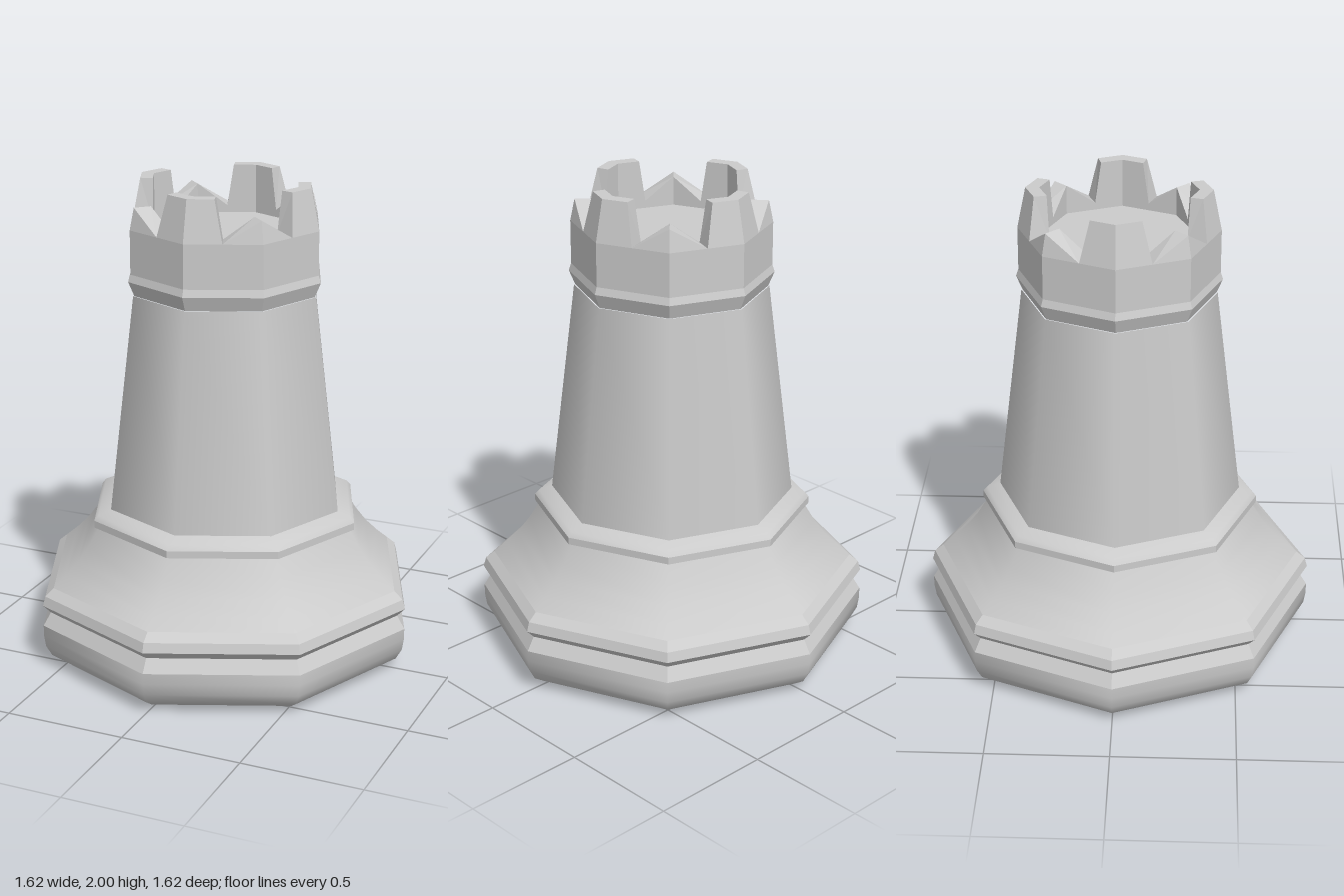
import * as THREE from 'three';

const SIDES = 8;
const smooth = new THREE.MeshStandardMaterial({ color: 0xcccccc });
const faceted = new THREE.MeshStandardMaterial({ color: 0xcccccc, flatShading: true });

// Eight-sided turned section from [radius, y] points, listed bottom to top
function turned(name, points, material) {
  const profile = points.map(([r, y]) => new THREE.Vector2(r, y));
  const mesh = new THREE.Mesh(new THREE.LatheGeometry(profile, SIDES), material);
  mesh.name = name;
  return mesh;
}

// Flat octagonal cap, facing up or down
function cap(name, radius, y, up) {
  const mesh = new THREE.Mesh(new THREE.CircleGeometry(radius, SIDES), faceted);
  mesh.rotation.x = up ? -Math.PI / 2 : Math.PI / 2;
  mesh.position.y = y;
  mesh.name = name;
  return mesh;
}

// Crown wall: four tapered merlons with a low pointed tooth between each pair
function battlements(inner, outer, floorY, notchY) {
  const rim = [[0, 2], [0.38, 2], [0.49, notchY], [1, 1.92]]; // [share of a half-bay, height]
  const outerRadius = (y) => outer - ((y - notchY) / (2 - notchY)) * 0.035;
  const positions = [];

  for (let bay = 0; bay < 4; bay++) {
    for (const side of [1, -1]) {
      const start = (bay * Math.PI) / 2;
      const end = start + (side * Math.PI) / 4;
      const at = (t, r, y) => [
        r * THREE.MathUtils.lerp(Math.cos(start), Math.cos(end), t),
        y,
        -r * THREE.MathUtils.lerp(Math.sin(start), Math.sin(end), t),
      ];
      const quad = (a, b, c, d) => {
        const order = side > 0 ? [a, b, c, a, c, d] : [a, c, b, a, d, c];
        order.forEach((p) => positions.push(...p));
      };
      for (let i = 0; i < rim.length - 1; i++) {
        const [t0, y0] = rim[i];
        const [t1, y1] = rim[i + 1];
        const out0 = at(t0, outerRadius(y0), y0);
        const out1 = at(t1, outerRadius(y1), y1);
        const in0 = at(t0, inner, y0);
        const in1 = at(t1, inner, y1);
        quad(at(t0, outer, notchY), at(t1, outer, notchY), out1, out0);
        quad(at(t1, inner, floorY), at(t0, inner, floorY), in0, in1);
        quad(out0, out1, in1, in0);
      }
    }
  }
  const geometry = new THREE.BufferGeometry();
  geometry.setAttribute('position', new THREE.Float32BufferAttribute(positions, 3));
  geometry.computeVertexNormals();
  const mesh = new THREE.Mesh(geometry, faceted);
  mesh.name = 'battlements';
  return mesh;
}

export function createModel() {
  const model = new THREE.Group();
  model.name = 'rook';

  // Foot
  model.add(
    cap('underside', 0.68, 0, false),
    turned('foot', [[0.68, 0], [0.73, 0.015], [0.775, 0.045], [0.8, 0.09], [0.808, 0.14], [0.808, 0.185]], smooth),
    turned('footGroove', [[0.808, 0.185], [0.775, 0.24], [0.808, 0.275], [0.797, 0.315], [0.76, 0.347]], faceted),
    turned('skirt', [[0.76, 0.347], [0.71, 0.39], [0.655, 0.445], [0.605, 0.51], [0.56, 0.585]], smooth),
  );

  // Collar
  model.add(
    turned('collar', [[0.56, 0.585], [0.578, 0.59], [0.578, 0.62]], faceted),
    turned('collarTop', [[0.578, 0.62], [0.56, 0.64], [0.505, 0.66]], smooth),
  );

  // Tower and crown
  model.add(
    turned('tower', [[0.505, 0.66], [0.395, 1.56]], smooth),
    turned('crownBand', [[0.39, 1.56], [0.415, 1.62], [0.405, 1.65], [0.405, 1.83]], faceted),
    battlements(0.315, 0.405, 1.8, 1.83),
    cap('crownFloor', 0.315, 1.8, true),
  );
  return model;
}
